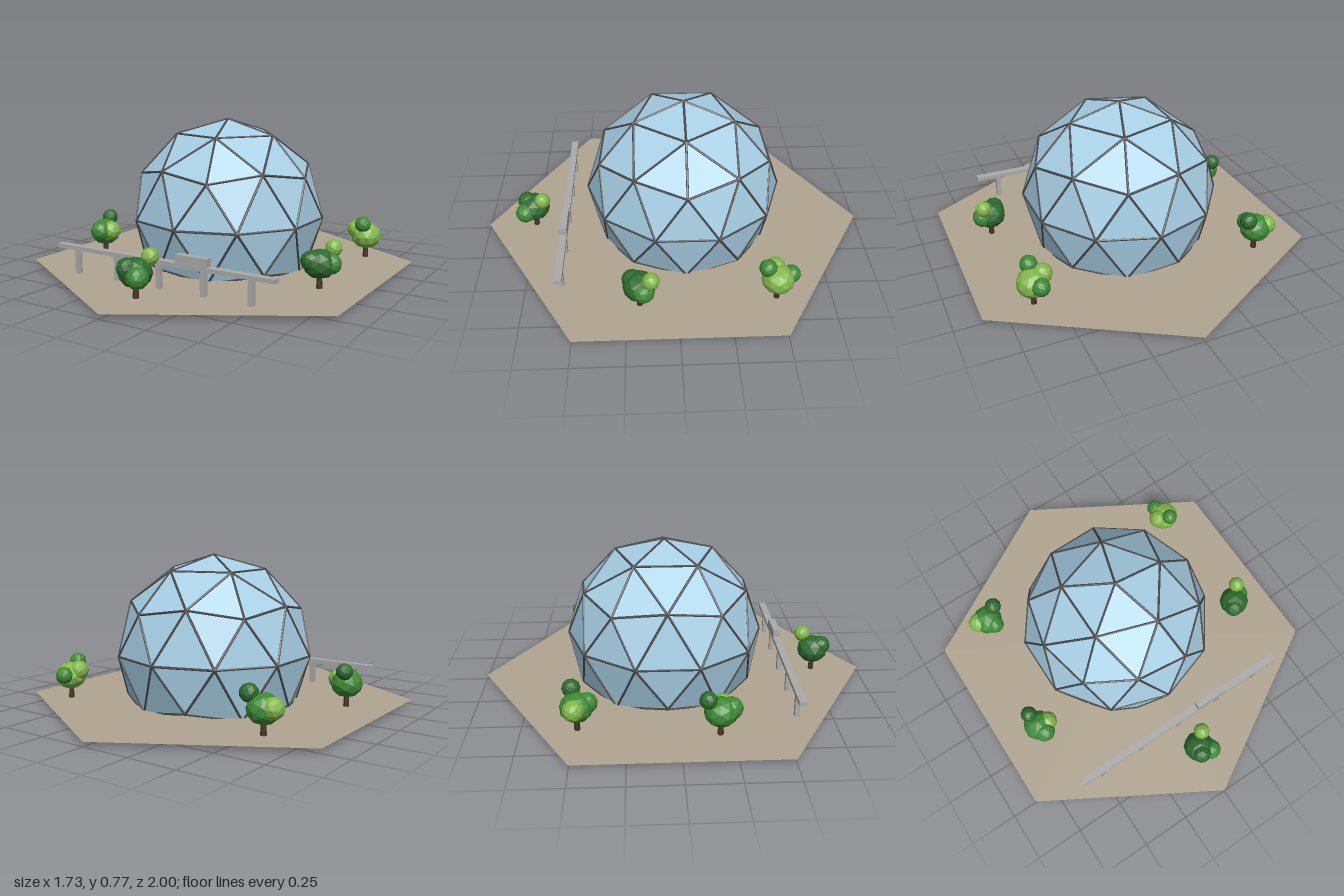
import * as THREE from 'three';

const mat = (name, color, extra = {}) => {
  const m = new THREE.MeshStandardMaterial({ color, flatShading: true, ...extra });
  m.name = name;
  return m;
};

export function createModel() {
  const model = new THREE.Group();
  model.name = 'geodesicDomePark';
  const M = {
    ground: mat('sand', 0xb0a590, { side: THREE.DoubleSide }),
    glass: mat('paleBluePanel', 0xa8d0e6, { side: THREE.DoubleSide }),
    strut: mat('darkGreyStrut', 0x4a4a4c),
    rail: mat('concreteGrey', 0xaaaaaa),
    trunk: mat('bark', 0x4a3222),
    dark: mat('darkGreen', 0x2d6a2d),
    mid: mat('midGreen', 0x3f8a35),
    light: mat('lightGreen', 0x82b74b),
  };
  const add = (parent, name, geo, material, x = 0, y = 0, z = 0) => {
    const m = new THREE.Mesh(geo, material);
    m.name = name;
    m.position.set(x, y, z);
    parent.add(m);
    return m;
  };
  const GROUND = 0.02;

  // Flat hexagonal ground with corners on the z axis
  const hex = new THREE.CircleGeometry(1, 6, Math.PI / 2);
  hex.rotateX(-Math.PI / 2);
  add(model, 'ground', hex, M.ground, 0, GROUND, 0);

  // Dome: rings of a two-frequency geodesic sphere, cut below the lower ring
  const dome = new THREE.Group();
  dome.name = 'dome';
  dome.position.set(0, 0.267, -0.05);
  model.add(dome);
  const R = 0.5;
  const at = (deg, y) => {
    const a = deg * Math.PI / 180, r = Math.sqrt(1 - y * y);
    return new THREE.Vector3(r * Math.cos(a), y, r * Math.sin(a)).multiplyScalar(R);
  };
  const pole = new THREE.Vector3(0, R, 0);
  const A = [], B = [], C = [], D = [];
  for (let i = 0; i < 5; i++) A.push(at(72 * i, 0.8507));
  for (let i = 0; i < 10; i++) {
    B.push(at(36 * i, i % 2 ? 0.5257 : 0.4472));
    C.push(at(36 * i + 18, 0));
    D.push(at(36 * i, i % 2 ? -0.4472 : -0.5257));
  }
  const faces = [];
  for (let k = 0; k < 5; k++) {
    const a = A[k], a2 = A[(k + 1) % 5], b = B[2 * k], bNext = B[2 * k + 1], bPrev = B[(2 * k + 9) % 10];
    faces.push([pole, a, a2], [a, a2, bNext], [a, bPrev, b], [a, b, bNext]);
  }
  for (let j = 0; j < 10; j++) {
    const n = (j + 1) % 10, p = (j + 9) % 10;
    faces.push([B[j], B[n], C[j]], [C[p], C[j], B[j]], [C[p], C[j], D[j]], [D[j], D[n], C[j]]);
  }
  const points = [];
  const edges = new Map();
  const ids = new Map([pole, ...A, ...B, ...C, ...D].map((v, i) => [v, i]));
  for (const [a, b, c] of faces) {
    const normal = b.clone().sub(a).cross(c.clone().sub(a));
    points.push(...(normal.dot(a) > 0 ? [a, b, c] : [a, c, b]));
    for (const [p, q] of [[a, b], [b, c], [c, a]]) {
      edges.set([ids.get(p), ids.get(q)].sort((s, t) => s - t).join('-'), [p, q]);
    }
  }
  const shell = new THREE.BufferGeometry().setFromPoints(points);
  shell.computeVertexNormals();
  add(dome, 'domePanels', shell, M.glass);

  // One strut along each panel edge
  const up = new THREE.Vector3(0, 1, 0);
  for (const [p, q] of edges.values()) {
    const dir = q.clone().sub(p);
    const s = add(dome, 'strut', new THREE.CylinderGeometry(0.006, 0.006, dir.length(), 6), M.strut);
    s.position.copy(p).add(q).multiplyScalar(0.5);
    s.quaternion.setFromUnitVectors(up, dir.normalize());
  }

  // Raised rail on five posts, with a carriage on top
  const rail = new THREE.Group();
  rail.name = 'raisedRail';
  rail.position.z = 0.57;
  model.add(rail);
  add(rail, 'beam', new THREE.BoxGeometry(1.23, 0.021, 0.037), M.rail, 0, 0.149, 0);
  add(rail, 'carriage', new THREE.BoxGeometry(0.17, 0.04, 0.037), M.rail, 0.191, 0.18, 0);
  for (let i = -2; i <= 2; i++) {
    add(rail, 'post', new THREE.BoxGeometry(0.025, 0.12, 0.024), M.rail, i * 0.247, 0.08, 0);
  }

  // Trees: [x, z, crown colour, smaller clumps as [dx, y, dz, radius, colour]]
  const trees = [
    [0, 0.745, 'dark', [[0.045, 0.207, -0.05, 0.042, 'light'], [0.045, 0.13, 0.045, 0.053, 'mid'], [-0.015, 0.165, 0.04, 0.05, 'dark']]],
    [0.64, 0.185, 'dark', [[0.045, 0.208, -0.055, 0.042, 'light'], [0.045, 0.14, -0.02, 0.053, 'mid'], [-0.03, 0.155, 0.035, 0.05, 'dark']]],
    [0.615, -0.475, 'light', [[0, 0.207, 0.052, 0.043, 'mid'], [-0.02, 0.15, -0.065, 0.045, 'mid'], [-0.05, 0.17, 0.01, 0.05, 'light']]],
    [-0.573, -0.48, 'mid', [[0.06, 0.207, -0.025, 0.045, 'dark'], [-0.055, 0.15, -0.01, 0.052, 'light'], [0.02, 0.15, 0.05, 0.05, 'mid']]],
    [-0.645, 0.185, 'mid', [[-0.015, 0.207, -0.06, 0.043, 'dark'], [0.05, 0.15, 0.01, 0.052, 'light'], [0.01, 0.15, 0.05, 0.055, 'mid']]],
  ];
  const clump = (r) => new THREE.IcosahedronGeometry(r, 1);
  trees.forEach(([x, z, crown, clumps], i) => {
    const tree = new THREE.Group();
    tree.name = 'tree';
    tree.position.set(x, 0, z);
    model.add(tree);
    add(tree, 'trunk', new THREE.CylinderGeometry(0.011, 0.015, 0.08, 6), M.trunk, 0, GROUND + 0.04, 0);
    const c = add(tree, 'crown', clump(0.08), M[crown], 0, 0.138, 0);
    c.scale.y = 0.9;
    c.rotation.y = i;
    for (const [dx, y, dz, r, colour] of clumps) {
      add(tree, 'leafClump', clump(r), M[colour], dx, y, dz).rotation.y = i + r * 40;
    }
  });

  return model;
}
